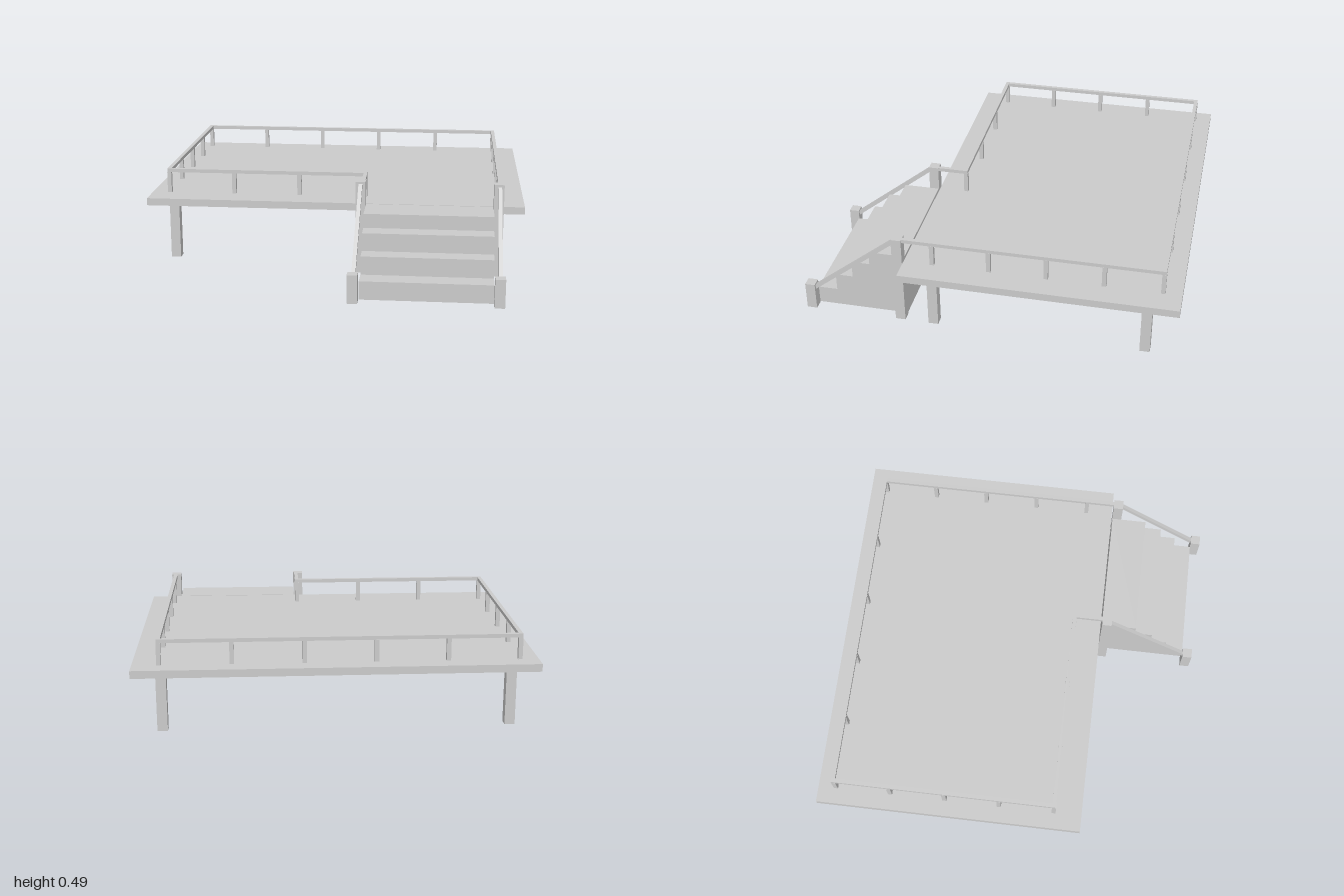
import * as THREE from 'three';

const material = new THREE.MeshStandardMaterial({ color: 0xcccccc, flatShading: true });

export function createModel() {
  const model = new THREE.Group();
  model.name = 'raisedDeck';

  // Axis-aligned box given by its minimum and maximum corners
  function box(name, [x0, y0, z0], [x1, y1, z1]) {
    const mesh = new THREE.Mesh(new THREE.BoxGeometry(x1 - x0, y1 - y0, z1 - z0), material);
    mesh.name = name;
    mesh.position.set((x0 + x1) / 2, (y0 + y1) / 2, (z0 + z1) / 2);
    model.add(mesh);
    return mesh;
  }

  // Upright square post centred on x, z
  const post = (name, x, z, w, y0, y1) =>
    box(name, [x - w / 2, y0, z - w / 2], [x + w / 2, y1, z + w / 2]);

  // Platform and its four legs
  const deckTop = 0.362, deckBottom = 0.323, deckFront = 0.43;
  box('platform', [-1, deckBottom, -0.974], [1, deckTop, deckFront]);
  for (const x of [-0.88, 0.865])
    for (const z of [-0.81, 0.285]) post('leg', x, z, 0.052, 0, deckBottom);

  // Top rails around the platform, open at the stairs
  const left = -0.907, right = 0.867, back = -0.88, front = 0.282, gap = 0.16;
  const railTop = 0.493, railBottom = 0.474, h = 0.01;
  const rail = (x0, z0, x1, z1) =>
    box('topRail', [x0 - h, railBottom, z0 - h], [x1 + h, railTop, z1 + h]);
  rail(left, back, right, back);
  rail(left, back, left, front);
  rail(right, back, right, 0.435);
  rail(left, front, gap, front);
  rail(gap, front, gap, 0.435);

  // Balusters, evenly spaced along each rail
  const baluster = (x, z) => post('baluster', x, z, 0.022, deckTop, railBottom);
  for (let i = 0; i <= 5; i++) {
    const x = left + (right - left) * i / 5;
    baluster(x, back);
    if (i <= 3) baluster(x, front);
  }
  for (let i = 1; i <= 4; i++) {
    const z = back + (front - back) * i / 4;
    if (i < 4) baluster(left, z);
    baluster(right, z);
  }

  // Solid stairs, extruded sideways from their stepped side profile (z, y)
  const profile = [
    [0.437, 0.005], [0.92, 0.005], [0.92, 0.1], [0.817, 0.1], [0.817, 0.195],
    [0.725, 0.195], [0.725, 0.288], [0.628, 0.288], [0.628, deckTop], [0.437, deckTop],
  ].map(([z, y]) => new THREE.Vector2(-z, y));
  const stairs = new THREE.Mesh(
    new THREE.ExtrudeGeometry(new THREE.Shape(profile), { depth: 0.663, bevelEnabled: false }), material);
  stairs.name = 'stairs';
  stairs.rotation.y = Math.PI / 2;
  stairs.position.x = 0.174;
  model.add(stairs);

  // Newel posts and sloping handrails on both sides of the stairs
  const top = new THREE.Vector2(0.47, 0.482), bottom = new THREE.Vector2(0.93, 0.118);
  for (const [upperX, lowerX, railX] of [[0.148, 0.144, 0.147], [0.863, 0.863, 0.866]]) {
    post('upperNewel', upperX, 0.461, 0.052, 0, 0.493);
    post('lowerNewel', lowerX, 0.945, 0.052, 0, 0.147);
    const handrail = new THREE.Mesh(
      new THREE.BoxGeometry(0.02, 0.02, top.distanceTo(bottom)), material);
    handrail.name = 'handrail';
    handrail.position.set(railX, (top.y + bottom.y) / 2, (top.x + bottom.x) / 2);
    handrail.rotation.x = Math.atan2(top.y - bottom.y, bottom.x - top.x);
    model.add(handrail);
  }

  return model;
}
